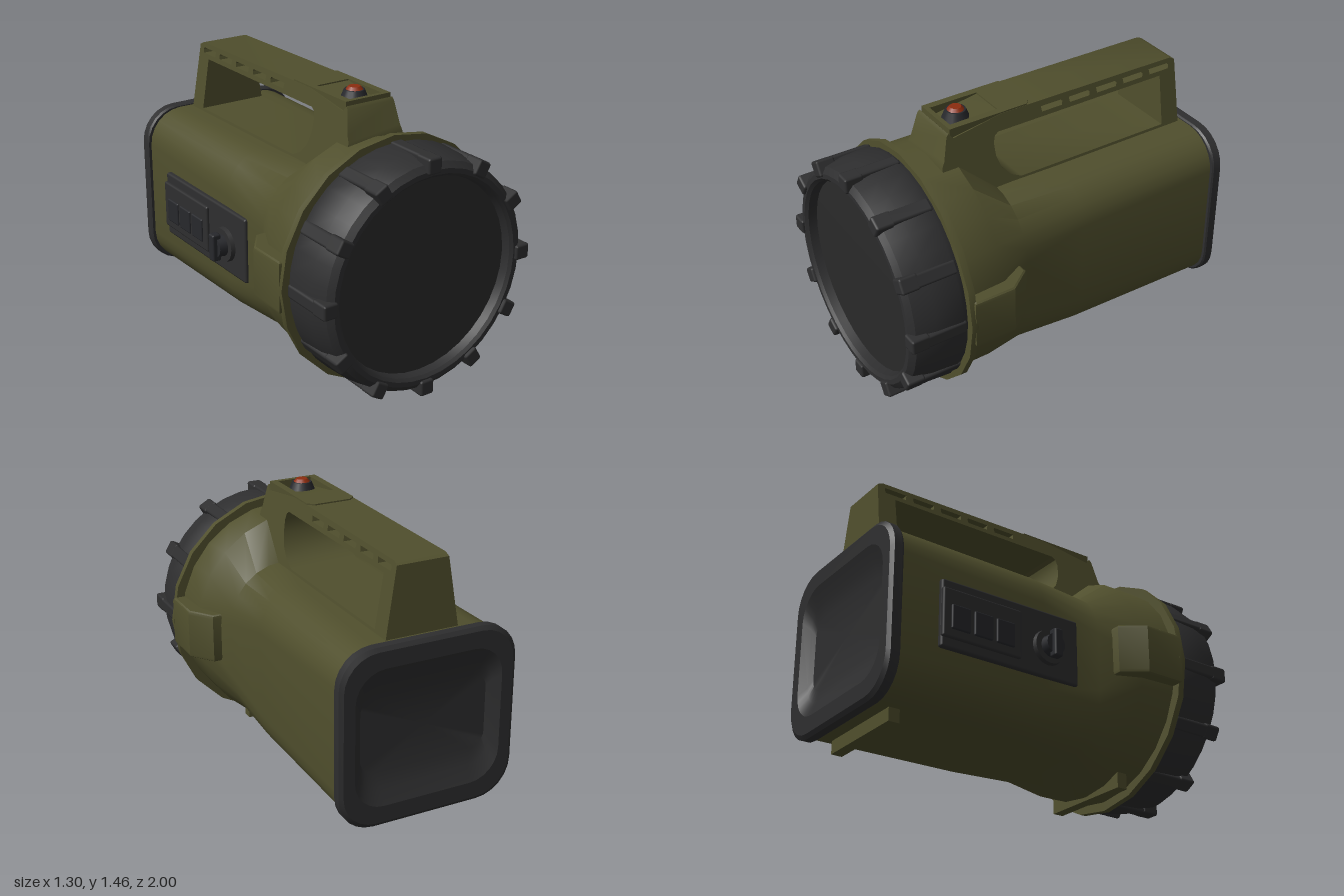
import * as THREE from 'three';
import { toCreasedNormals } from 'three/addons/utils/BufferGeometryUtils.js';
import { RoundedBoxGeometry } from 'three/addons/geometries/RoundedBoxGeometry.js';

const mat = (name, color) => {
  const m = new THREE.MeshStandardMaterial({ color });
  m.name = name;
  return m;
};

// Points of a rounded rectangle, counter-clockwise seen from the front
function roundRect(cy, hw, hh, r, n = 6) {
  const pts = [];
  [[1, 1], [-1, 1], [-1, -1], [1, -1]].forEach(([sx, sy], q) => {
    for (let i = 0; i <= n; i++) {
      const a = (q + i / n) * Math.PI / 2;
      pts.push([sx * (hw - r) + r * Math.cos(a), cy + sy * (hh - r) + r * Math.sin(a)]);
    }
  });
  return pts;
}

// Skin over rounded-rectangle sections [z, cy, hw, hh, r], from front to back
function loft(sections, crease = 0.6) {
  const pos = [], idx = [];
  const rings = sections.map(([z, ...s]) => roundRect(...s).map(([x, y]) => [x, y, z]));
  const n = rings[0].length;
  rings.forEach(ring => ring.forEach(p => pos.push(...p)));
  const first = sections[0], last = sections[sections.length - 1];
  pos.push(0, first[1], first[0], 0, last[1], last[0]);
  const c0 = n * rings.length, end = n * (rings.length - 1);
  for (let j = 0; j < n; j++) {
    const k = (j + 1) % n;
    for (let i = 0; i < rings.length - 1; i++) {
      const a = i * n + j, b = i * n + k, c = a + n, d = b + n;
      idx.push(a, c, b, b, c, d);
    }
    idx.push(c0, j, k, c0 + 1, end + k, end + j);
  }
  const g = new THREE.BufferGeometry();
  g.setAttribute('position', new THREE.Float32BufferAttribute(pos, 3));
  g.setIndex(idx);
  return toCreasedNormals(g, crease);
}

// Turned part around the z axis, profile of [radius, z]
function turned(profile, segments) {
  const g = new THREE.LatheGeometry(profile.map(p => new THREE.Vector2(...p)), segments);
  return toCreasedNormals(g.rotateX(Math.PI / 2), 0.6);
}

const vecs = list => list.map(([a, b]) => new THREE.Vector2(a, b));

export function createModel() {
  const model = new THREE.Group();
  model.name = 'lantern';
  const olive = mat('olive plastic', 0x504f2d);
  const black = mat('black rubber', 0x2e2e2f);
  const lensMat = mat('dark lens', 0x2a2a2a);
  const grey = mat('dark grey controls', 0x27282c);
  const red = mat('red button', 0x8c2c0f);

  const add = (name, geo, material, x = 0, y = 0, z = 0, parent = model) => {
    const m = new THREE.Mesh(geo, material);
    m.name = name;
    m.position.set(x, y, z);
    parent.add(m);
    return m;
  };

  // Housing: round bell blending into a squarish body
  add('body', loft([
    [0.66, 0.65, 0.6, 0.6, 0.59],
    [0.45, 0.65, 0.585, 0.6, 0.57],
    [0.25, 0.595, 0.475, 0.46, 0.3],
    [-0.1, 0.595, 0.465, 0.455, 0.22],
    [-0.937, 0.595, 0.46, 0.455, 0.19],
  ]), olive);
  add('flange', turned([[0, 0.65], [0.65, 0.65], [0.65, 0.685], [0, 0.685]], 20), olive, 0, 0.65);

  // Rubber bezel with grip lugs around the lens
  const bezel = new THREE.Group();
  bezel.name = 'bezel';
  bezel.position.y = 0.655;
  model.add(bezel);
  add('bezelRing', turned([
    [0.5, 0.68], [0.605, 0.68], [0.62, 0.715], [0.612, 0.86], [0.59, 0.96],
    [0.56, 0.985], [0.535, 0.985], [0.52, 0.97], [0.512, 0.92],
  ], 36), black, 0, 0, 0, bezel);
  for (let i = 0; i < 12; i++) {
    const lug = new THREE.Group();
    lug.name = 'gripLug';
    lug.rotation.z = i * Math.PI / 6;
    bezel.add(lug);
    add('lugBar', new RoundedBoxGeometry(0.07, 0.06, 0.29, 1, 0.012), black, 0, 0.595, 0.84, lug);
    add('lugTip', new RoundedBoxGeometry(0.08, 0.083, 0.1, 1, 0.012), black, 0, 0.584, 0.95, lug);
  }
  add('lens', turned([[0.525, 0.91], [0.52, 0.925], [0, 0.93]], 36), lensMat, 0, 0, 0, bezel);

  // Side pads on the bell
  for (const s of [1, -1]) {
    const shape = new THREE.Shape(vecs([
      [0.45, -0.65], [0.635, -0.65], [0.635, -0.44], [0.55, -0.325], [0.45, -0.325],
    ].map(([x, y]) => [s * x, y])));
    const g = new THREE.ExtrudeGeometry(shape, {
      depth: 0.23, bevelSize: 0.012, bevelThickness: 0.02, bevelSegments: 2,
    }).rotateX(-Math.PI / 2);
    add(s > 0 ? 'leftPad' : 'rightPad', toCreasedNormals(g, 0.6), olive, 0, 0.54, 0);
  }

  // Carrying handle: side outline (counter-clockwise) with grip opening and row of slots
  const side = list => vecs(list.map(([z, y]) => [-z, y]));
  const outline = new THREE.Shape(side([
    [0.4, 1.12], [0.2, 1.0], [-0.91, 1.0], [-0.9, 1.405], [-0.87, 1.42], [0, 1.427],
    [0.18, 1.427], [0.46, 1.385], [0.485, 1.415], [0.497, 1.4], [0.525, 1.28], [0.54, 1.25], [0.54, 1.18],
  ]));
  outline.holes.push(new THREE.Path(side([
    [0.21, 1.34], [-0.8, 1.34], [-0.8, 1.065], [0.1, 1.065], [0.16, 1.095], [0.21, 1.15],
    [0.235, 1.22], [0.24, 1.29], [0.23, 1.325],
  ])));
  for (let i = 0; i < 5; i++) {
    const z = -0.115 - i * 0.17;
    outline.holes.push(new THREE.Path(side([
      [z + 0.065, 1.395], [z - 0.06, 1.395], [z - 0.065, 1.385], [z - 0.06, 1.365], [z + 0.06, 1.365],
    ])));
  }
  const handle = new THREE.ExtrudeGeometry(outline, { depth: 2, bevelEnabled: false })
    .translate(0, 0, -1).rotateY(Math.PI / 2);
  const p = handle.attributes.position;
  for (let i = 0; i < p.count; i++) {
    p.setX(i, p.getX(i) * (0.135 + (1.43 - p.getY(i)) * 0.16));
  }
  add('handle', toCreasedNormals(handle, 0.6), olive);

  // Thumb switch in a sloping recess, framed at the front of the handle
  const frame = new THREE.Shape(vecs([
    [-0.134, -0.475], [0.134, -0.475], [0.134, -0.03], [0.1, 0], [-0.1, 0], [-0.134, -0.03],
  ]));
  frame.holes.push(new THREE.Path(vecs([[-0.095, -0.45], [0.095, -0.45], [0.095, -0.18], [-0.095, -0.18]])));
  add('switchFrame', new THREE.ExtrudeGeometry(frame, { depth: 0.06, bevelEnabled: false })
    .rotateX(-Math.PI / 2), olive, 0, 1.374, 0);
  add('switchCollar', new THREE.CylinderGeometry(0.052, 0.078, 0.065, 16), grey, 0, 1.414, 0.36);
  add('switchButton', new THREE.CylinderGeometry(0.03, 0.046, 0.018, 12), red, 0, 1.453, 0.36);

  // Rear rubber cap with a recess
  add('rearCap', loft([
    [-0.932, 0.595, 0.475, 0.46, 0.19],
    [-0.942, 0.595, 0.48, 0.467, 0.19],
    [-0.985, 0.595, 0.48, 0.467, 0.19],
    [-1.0, 0.595, 0.46, 0.447, 0.18],
    [-1.0, 0.595, 0.4, 0.36, 0.16],
    [-0.965, 0.595, 0.365, 0.28, 0.12],
    [-0.945, 0.595, 0.345, 0.2, 0.08],
  ], 0.4), black);

  // Feet
  add('frontFoot', new THREE.BoxGeometry(0.54, 0.16, 0.06), olive, 0, 0.11, 0.55);
  add('rearFoot', new THREE.BoxGeometry(0.54, 0.1, 0.06), olive, 0, 0.12, -0.83);

  // Control panel on the right side: plate, key block, three keys and a rotary knob
  const panel = new THREE.Group();
  panel.name = 'controlPanel';
  panel.position.set(-0.465, 0.59, 0);
  model.add(panel);
  add('panelPlate', new RoundedBoxGeometry(0.04, 0.36, 0.82, 1, 0.012), black, -0.002, 0, -0.31, panel);
  add('keyBlock', new RoundedBoxGeometry(0.03, 0.26, 0.46, 1, 0.01), black, -0.022, 0, -0.49, panel);
  for (let i = 0; i < 3; i++) {
    add('key', new RoundedBoxGeometry(0.02, 0.13, 0.11, 1, 0.008), grey, -0.036, -0.02, -0.62 + i * 0.13, panel);
  }
  add('knobBase', new THREE.CylinderGeometry(0.09, 0.095, 0.03, 20).rotateZ(Math.PI / 2), black, -0.03, -0.02, -0.09, panel);
  add('knob', new THREE.CylinderGeometry(0.055, 0.06, 0.06, 16).rotateZ(Math.PI / 2), grey, -0.06, -0.02, -0.09, panel);
  add('knobGrip', new RoundedBoxGeometry(0.05, 0.15, 0.05, 1, 0.01), grey, -0.09, -0.02, -0.09, panel);
  return model;
}
